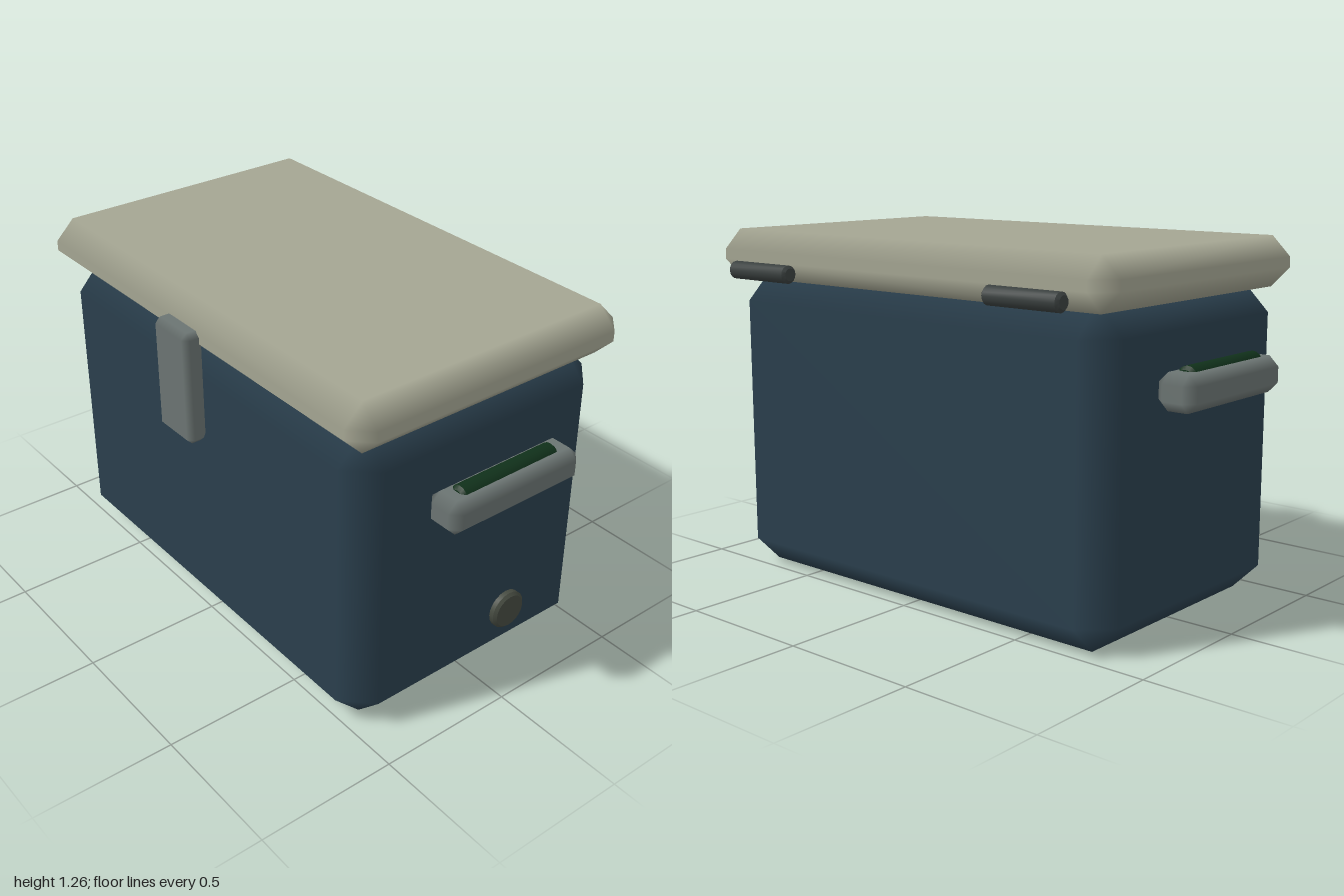
import * as THREE from 'three';
import { toCreasedNormals } from 'three/addons/utils/BufferGeometryUtils.js';

// Box with one chamfer on every edge; each vertex keeps its main face's normal,
// so flat panels stay flat and the chamfers shade smoothly.
function chamferBox(w, h, d, c) {
  const half = [w / 2, h / 2, d / 2];
  const pos = [], nor = [], index = [];
  for (let axis = 0; axis < 3; axis++) {
    for (let bits = 0; bits < 8; bits++) {
      for (let k = 0; k < 3; k++) {
        const s = bits & (1 << k) ? 1 : -1;
        pos.push(s * (half[k] - (k === axis ? 0 : c)));
        nor.push(k === axis ? s : 0);
      }
    }
  }
  const at = (i) => new THREE.Vector3().fromArray(pos, i * 3);
  const tri = (i, j, k) => {
    const a = at(i), b = at(j), e = at(k);
    const n = b.clone().sub(a).cross(e.clone().sub(a));
    if (n.dot(a.add(b).add(e)) > 0) index.push(i, j, k);
    else index.push(i, k, j);
  };
  const quad = (i, j, k, l) => { tri(i, j, k); tri(i, k, l); };

  for (let a = 0; a < 3; a++) {
    const b = (a + 1) % 3, e = (a + 2) % 3;
    const A = 1 << a, B = 1 << b, E = 1 << e;
    for (const s of [0, A]) {
      // main face
      quad(a * 8 + s, a * 8 + s + B, a * 8 + s + B + E, a * 8 + s + E);
      // chamfers between axes a and b
      for (const t of [0, B]) {
        quad(a * 8 + s + t, a * 8 + s + t + E, b * 8 + s + t + E, b * 8 + s + t);
      }
    }
  }
  // corner triangles
  for (let bits = 0; bits < 8; bits++) tri(bits, 8 + bits, 16 + bits);

  const g = new THREE.BufferGeometry();
  g.setAttribute('position', new THREE.Float32BufferAttribute(pos, 3));
  g.setAttribute('normal', new THREE.Float32BufferAttribute(nor, 3));
  g.setIndex(index);
  return g;
}

// Solid cylinder along y with chamfered rims
function chamferCylinder(r, length, c, sides) {
  const h = length / 2;
  const profile = [[0, -h], [r - c, -h], [r, -h + c], [r, h - c], [r - c, h], [0, h]]
    .map(([x, y]) => new THREE.Vector2(x, y));
  return toCreasedNormals(new THREE.LatheGeometry(profile, sides), 0.6);
}

export function createModel() {
  const model = new THREE.Group();
  model.name = 'coolBox';

  const material = (name, color) => {
    const m = new THREE.MeshStandardMaterial({ color });
    m.name = name;
    return m;
  };
  const navy = material('navyShell', 0x2a3f4d);
  const cream = material('creamLid', 0xa4a592);
  const grey = material('greyPlastic', 0x6b7472);
  const dark = material('darkHinge', 0x3a403f);
  const olive = material('olivePlug', 0x454a40);
  const green = material('greenGrip', 0x10301a);

  const add = (name, geometry, mat, x, y, z) => {
    const mesh = new THREE.Mesh(geometry, mat);
    mesh.name = name;
    mesh.position.set(x, y, z);
    model.add(mesh);
    return mesh;
  };

  // Tub and overhanging lid
  add('body', chamferBox(1.7, 1.1, 1.04, 0.1), navy, 0, 0.55, 0);
  add('lid', chamferBox(1.78, 0.176, 1.12, 0.07), cream, 0, 1.168, -0.004);

  // Front latch
  add('latch', chamferBox(0.19, 0.41, 0.074, 0.02), grey, 0, 0.988, 0.574);

  // Handles with grips, and rear hinges, mirrored left and right
  for (const [side, s] of [['left', 1], ['right', -1]]) {
    add(side + 'Handle', chamferBox(0.14, 0.122, 0.55, 0.034), grey, s * 0.93, 0.825, -0.004);
    add(side + 'Grip', chamferCylinder(0.037, 0.41, 0.012, 16), green, s * 0.93, 0.866, -0.002)
      .rotation.x = Math.PI / 2;
    add(side + 'Hinge', chamferCylinder(0.032, 0.3, 0.01, 16), dark, s * 0.6, 1.117, -0.58)
      .rotation.z = Math.PI / 2;
  }

  // Drain plug, low on the left side
  add('drainPlug', chamferCylinder(0.07, 0.06, 0.01, 20), olive, 0.847, 0.222, -0.138)
    .rotation.z = Math.PI / 2;

  return model;
}
